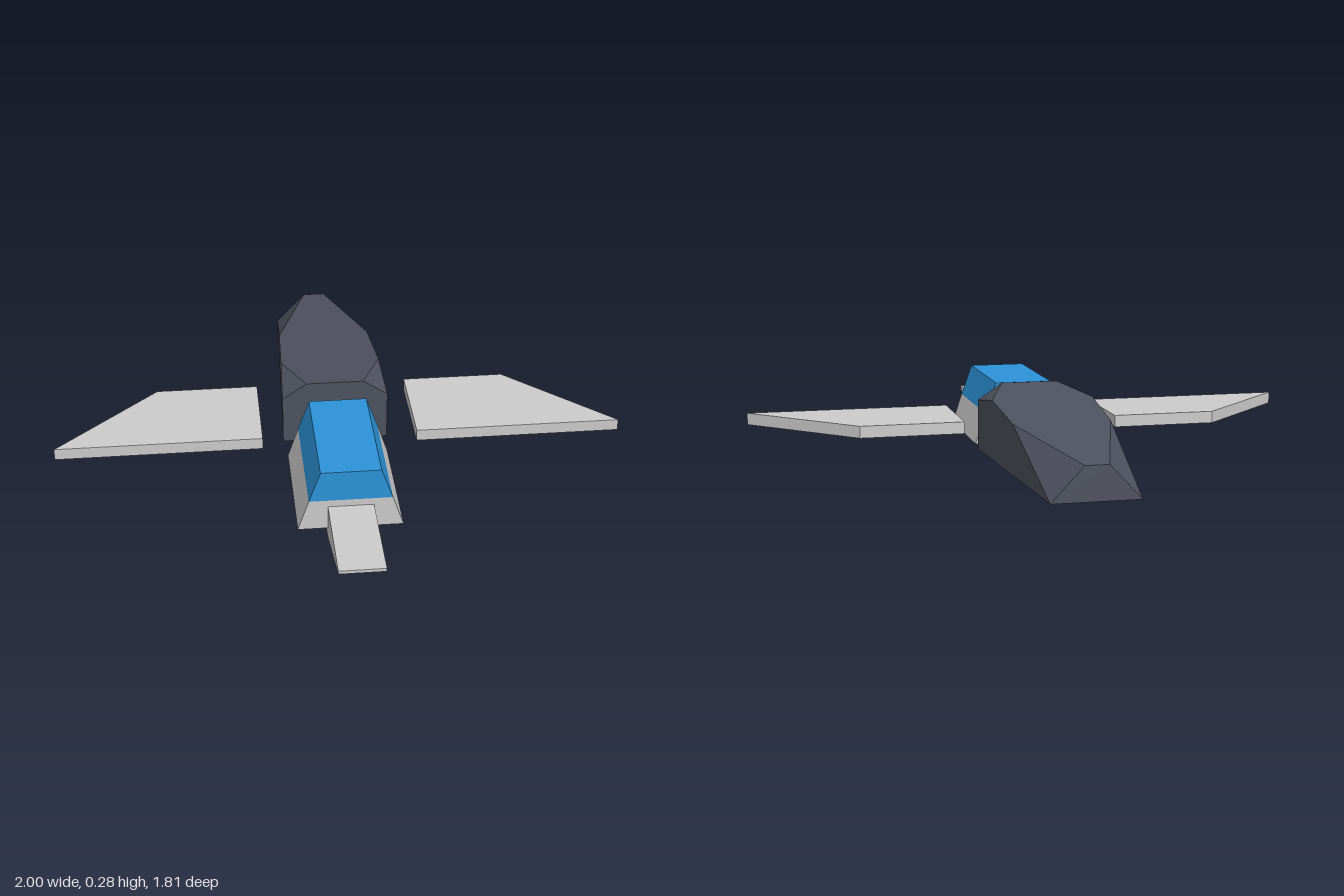
import * as THREE from 'three';
import { ConvexGeometry } from 'three/addons/geometries/ConvexGeometry.js';

const material = (color) => new THREE.MeshStandardMaterial({ color, flatShading: true });
const grey = material(0xcccccc);
const blue = material(0x2c93d8);
const slate = material(0x4e525f);

// Extrudes an outline of [x, y] points along +z from 0 to depth.
function prism(points, depth) {
  const shape = new THREE.Shape(points.map(([x, y]) => new THREE.Vector2(x, y)));
  return new THREE.ExtrudeGeometry(shape, { depth, bevelEnabled: false });
}

export function createModel() {
  const model = new THREE.Group();
  const add = (name, geometry, mat) => {
    const mesh = new THREE.Mesh(geometry, mat);
    mesh.name = name;
    model.add(mesh);
  };

  // Cabin: two stacked trapezoid blocks, grey below and blue above
  const cabinBlock = (y0, w0, y1, w1) =>
    prism([[-w0, y0], [w0, y0], [w1, y1], [-w1, y1]], 0.453).translate(0, 0, 0.098);
  add('cabinBase', cabinBlock(0.043, 0.18, 0.155, 0.142), grey);
  add('cabinCanopy', cabinBlock(0.155, 0.142, 0.267, 0.102), blue);

  // Nose: side profile in (-z, y), turned to run across the width
  const nose = prism([[-0.903, 0.118], [-0.541, 0], [-0.323, 0], [-0.323, 0.13], [-0.903, 0.13]], 0.156);
  add('nose', nose.translate(0, 0, -0.078).rotateY(Math.PI / 2), grey);

  // Rear hull: tapering block with chamfered front and rear shoulders
  const hullSide = [
    [0.19, 0.043, 0.003], [0.19, 0.223, 0.003], [0.102, 0.282, 0.003],
    [0.181, 0.254, -0.2], [0.169, 0.218, -0.47],
    [0.15, 0.043, -0.903], [0.04, 0.16, -0.903],
  ];
  const hullPoints = [1, -1].flatMap((s) => hullSide.map(([x, y, z]) => new THREE.Vector3(s * x, y, z)));
  add('rearHull', new ConvexGeometry(hullPoints), slate);

  // Wings: swept flat plates, outline in (x, -z)
  for (const [name, s] of [['leftWing', 1], ['rightWing', -1]]) {
    const outline = [[0.273, -0.184], [1, -0.184], [0.64, 0.17], [0.273, 0.17]];
    const plate = prism(outline.map(([x, y]) => [s * x, y]), 0.042);
    add(name, plate.rotateX(-Math.PI / 2).translate(0, 0.135, 0), grey);
  }

  return model;
}
